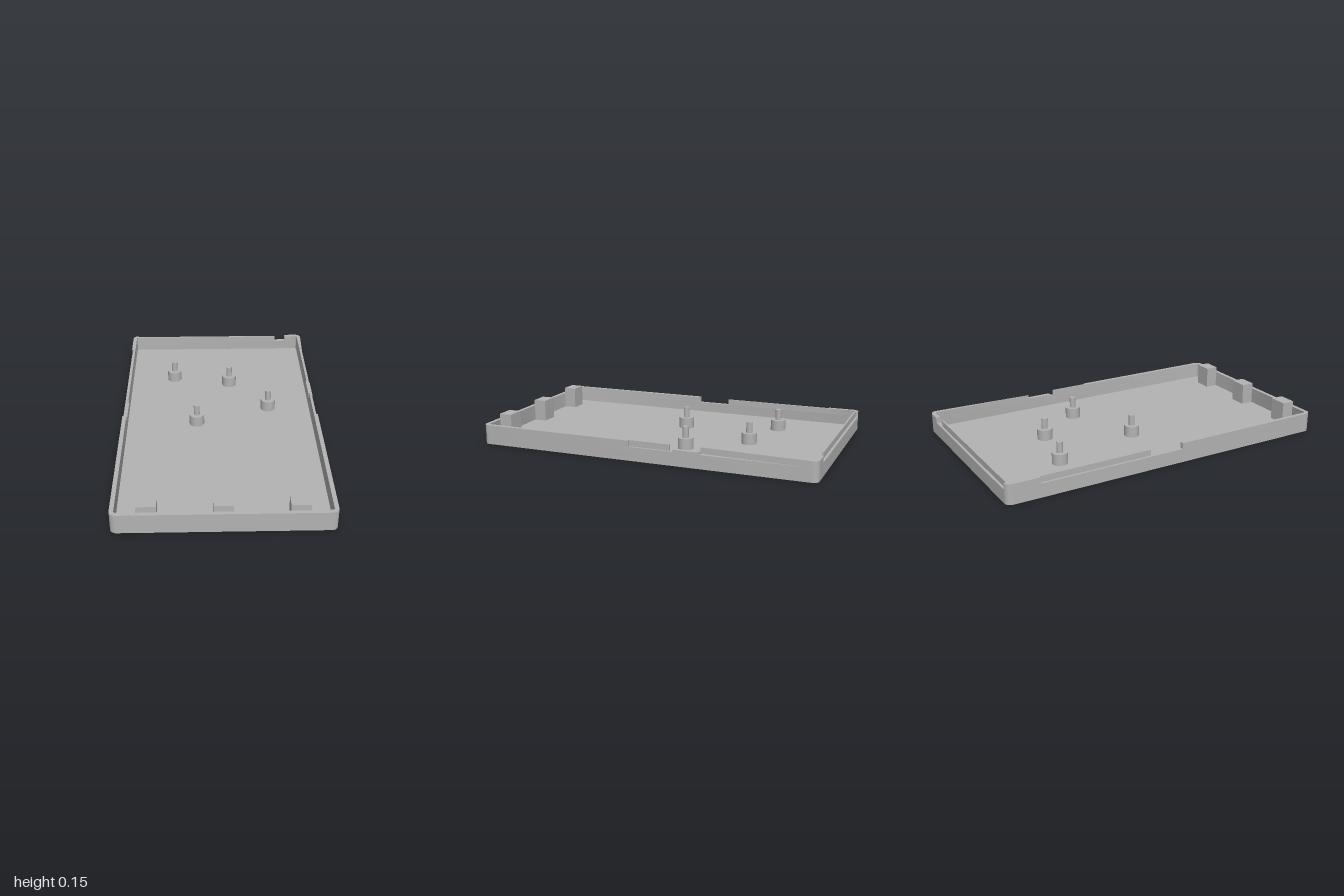
import * as THREE from 'three';
import { toCreasedNormals } from 'three/addons/utils/BufferGeometryUtils.js';

const X = 0.59, Z = 1, R = 0.035;      // outer half width, half length, corner radius
const IX = 0.566, IZ = 0.976, IR = 0.012; // inner wall outline
const FLOOR = 0.02, LEDGE = 0.08, RIM = 0.115;

function roundedRect(target, w, d, r) {
  target.moveTo(w - r, -d);
  target.absarc(w - r, -d + r, r, -Math.PI / 2, 0);
  target.absarc(w - r, d - r, r, 0, Math.PI / 2);
  target.absarc(-w + r, d - r, r, Math.PI / 2, Math.PI);
  target.absarc(-w + r, -d + r, r, Math.PI, Math.PI * 1.5);
  target.closePath();
  return target;
}

// Plan shapes use (x, -z) and are raised from y0 to y1
function raise(shape, y0, y1) {
  const g = new THREE.ExtrudeGeometry(shape, { depth: y1 - y0, bevelEnabled: false, curveSegments: 8 });
  g.rotateX(-Math.PI / 2).translate(0, y0, 0);
  return toCreasedNormals(g, 0.6);
}

export function createModel() {
  const group = new THREE.Group();
  const grey = new THREE.MeshStandardMaterial({ color: 0xb3b3b3 });
  grey.name = 'grey plastic';

  const add = (name, geometry) => {
    const mesh = new THREE.Mesh(geometry, grey);
    mesh.name = name;
    group.add(mesh);
    return mesh;
  };
  const block = (name, x0, x1, y0, y1, z0, z1) => {
    const g = new THREE.BoxGeometry(x1 - x0, y1 - y0, z1 - z0);
    add(name, g.translate((x0 + x1) / 2, (y0 + y1) / 2, (z0 + z1) / 2));
  };

  // Floor and the continuous lower wall
  add('floor', raise(roundedRect(new THREE.Shape(), X, Z, R), 0, FLOOR));
  const ring = roundedRect(new THREE.Shape(), X, Z, R);
  ring.holes.push(roundedRect(new THREE.Path(), IX, IZ, IR));
  add('lowerWall', raise(ring, FLOOR, LEDGE));

  // Upper wall: front U, from side to side
  const u = new THREE.Shape();
  u.moveTo(-X, -0.06);
  u.lineTo(-X, -Z + R);
  u.absarc(-X + R, -Z + R, R, Math.PI, Math.PI * 1.5);
  u.absarc(X - R, -Z + R, R, -Math.PI / 2, 0);
  u.lineTo(X, -0.06);
  u.lineTo(IX, -0.06);
  u.absarc(IX - IR, -IZ + IR, IR, 0, -Math.PI / 2, true);
  u.absarc(-IX + IR, -IZ + IR, IR, Math.PI * 1.5, Math.PI, true);
  u.lineTo(-IX, -0.06);
  u.closePath();
  add('frontUpperWall', raise(u, LEDGE, RIM));

  // Upper wall: back left corner
  const l = new THREE.Shape();
  l.moveTo(X, 0.355);
  l.absarc(X - R, Z - R, R, 0, Math.PI / 2);
  l.lineTo(0.48, Z);
  l.lineTo(0.48, IZ);
  l.absarc(IX - IR, IZ - IR, IR, Math.PI / 2, 0, true);
  l.lineTo(IX, 0.355);
  l.closePath();
  add('backLeftUpperWall', raise(l, LEDGE, RIM));

  // Upper wall: back right corner
  const r = new THREE.Shape();
  r.moveTo(-0.555, Z);
  r.absarc(-X + R, Z - R, R, Math.PI / 2, Math.PI);
  r.lineTo(-X, 0.81);
  r.lineTo(-IX, 0.81);
  r.absarc(-IX + IR, IZ - IR, IR, Math.PI, Math.PI / 2, true);
  r.closePath();
  add('backRightUpperWall', raise(r, LEDGE, RIM));

  // Thin inner lips behind the outer recesses
  block('leftLip', IX, 0.578, LEDGE, RIM, -0.18, 0.06);
  block('rightLip', -0.576, -IX, LEDGE, RIM, -0.81, -0.14);
  block('backLip', -0.556, 0.41, LEDGE, RIM, -0.986, -IZ);

  // Raised sill of the left notch
  block('leftNotchSill', IX, X, LEDGE, 0.092, -0.355, -0.2);

  // Catch blocks along the front wall
  for (const x of [-0.4, -0.003, 0.394])
    block('frontCatch', x - 0.053, x + 0.053, FLOOR, 0.15, 0.9, 0.978);

  // Standoffs with locating pins
  for (const [x, z] of [[-0.29, -0.555], [0.07, -0.477], [0.305, -0.17], [-0.142, -0.004]]) {
    add('standoff', new THREE.CylinderGeometry(0.045, 0.045, 0.065, 32)).position.set(x, FLOOR + 0.0325, z);
    add('standoffPin', new THREE.CylinderGeometry(0.018, 0.018, 0.064, 24)).position.set(x, 0.116, z);
  }
  return group;
}
